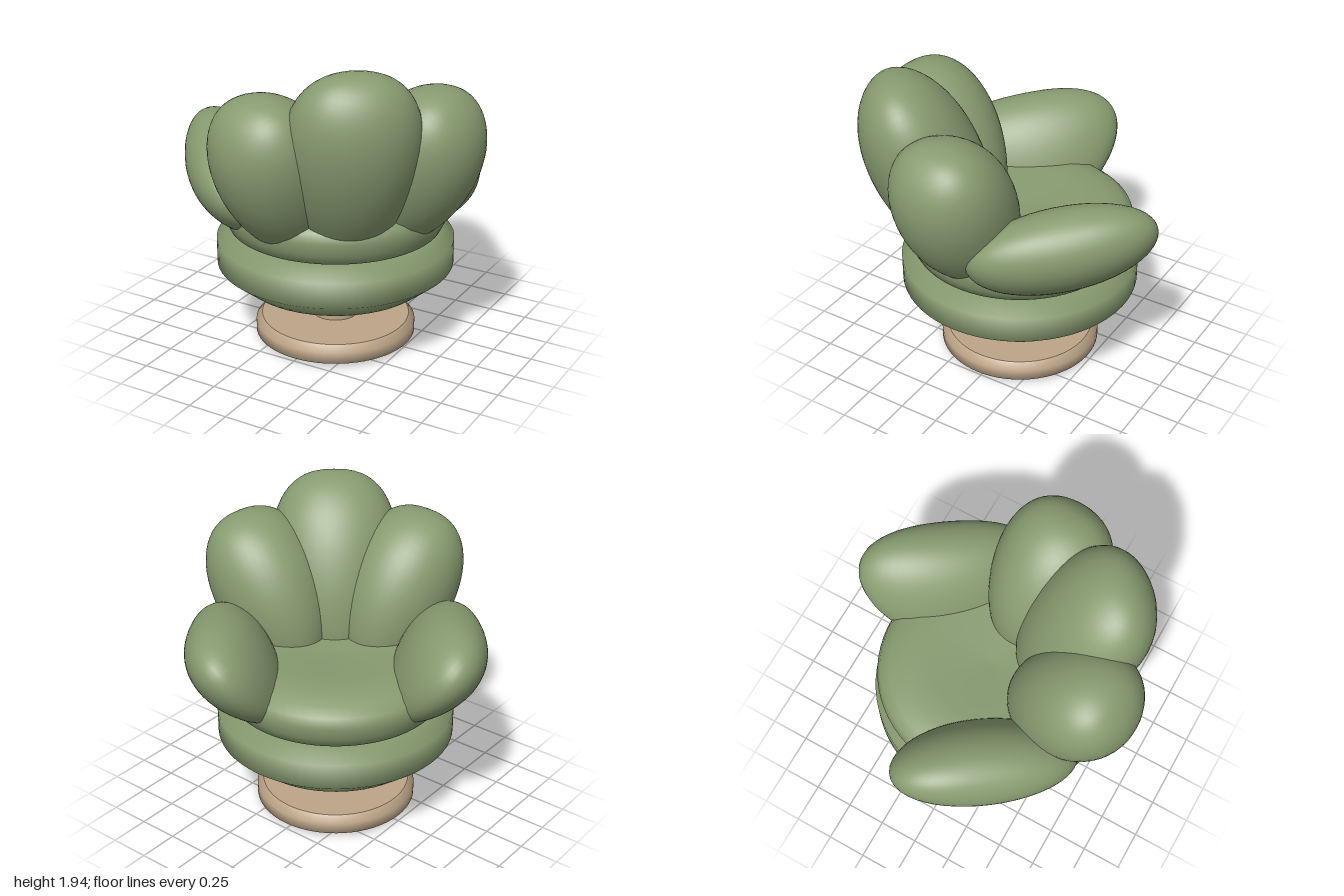
import * as THREE from 'three';
import { mergeVertices } from 'three/addons/utils/BufferGeometryUtils.js';

const fabric = new THREE.MeshStandardMaterial({ color: 0x879b70 });
fabric.name = 'green fabric';
const wood = new THREE.MeshStandardMaterial({ color: 0xbda588 });
wood.name = 'pale wood';

function named(geometry, material, name) {
  const mesh = new THREE.Mesh(geometry, material);
  mesh.name = name;
  return mesh;
}

// Turned part; each pair is radius, height, listed from the bottom up
function turned(points, material, name) {
  const profile = points.map(([r, y]) => new THREE.Vector2(r, y));
  return named(new THREE.LatheGeometry(profile, 64), material, name);
}

// Egg-shaped cushion along y, blunt across its width and narrower at its lower end
function egg([halfWidth, halfLength, halfDepth], taperX, taperZ) {
  let g = new THREE.SphereGeometry(1, 48, 32);
  const p = g.attributes.position;
  for (let i = 0; i < p.count; i++) {
    const y = p.getY(i);
    const blunt = Math.max(1 - y * y, 1e-4) ** -0.1;
    p.setXYZ(i,
      p.getX(i) * halfWidth * blunt * (1 + taperX * y),
      y * halfLength,
      p.getZ(i) * halfDepth * (1 + taperZ * y));
  }
  g.deleteAttribute('uv');
  g.deleteAttribute('normal');
  g = mergeVertices(g, 1e-5);
  g.computeVertexNormals();
  return g;
}

// Back cushion placed around the seat and leaning outwards
function backPetal(name, azimuth, radius, height, lean, size) {
  const pivot = new THREE.Group();
  pivot.name = name;
  pivot.rotation.y = THREE.MathUtils.degToRad(azimuth);
  const mesh = named(egg(size, 0.22, 0.1), fabric, name + 'Cushion');
  mesh.position.set(0, height, radius);
  mesh.rotation.x = THREE.MathUtils.degToRad(lean);
  pivot.add(mesh);
  return pivot;
}

// Wide arm cushion, its long side pitched up towards the front, leaning outwards
function armPetal(name, side) {
  const pitch = THREE.MathUtils.degToRad(9);
  const lean = THREE.MathUtils.degToRad(39);
  const forward = new THREE.Vector3(0, Math.sin(pitch), -Math.cos(pitch));
  const up = new THREE.Vector3(
    side * Math.sin(lean),
    Math.cos(lean) * Math.cos(pitch),
    Math.cos(lean) * Math.sin(pitch));
  const across = new THREE.Vector3().crossVectors(forward, up);
  const mesh = named(egg([0.545, 0.38, 0.23], 0.26, 0.26), fabric, name);
  mesh.quaternion.setFromRotationMatrix(new THREE.Matrix4().makeBasis(forward, up, across));
  mesh.position.set(side * 0.585, 1.03, -0.17);
  return mesh;
}

export function createModel() {
  const chair = new THREE.Group();
  chair.name = 'petalSwivelChair';
  chair.position.set(0.013, 0, 0.013);
  chair.rotation.y = THREE.MathUtils.degToRad(39);

  // Pedestal
  const base = new THREE.Group();
  base.name = 'pedestal';
  const foot = [[0.44, 0], [0.503, 0.03], [0.503, 0.1], [0.465, 0.141]];
  base.add(turned(foot, wood, 'footRim'));
  const footTop = named(new THREE.CircleGeometry(0.465, 64), wood, 'footTop');
  footTop.rotation.x = -Math.PI / 2;
  footTop.position.y = 0.141;
  const footUnderside = named(new THREE.CircleGeometry(0.44, 64), wood, 'footUnderside');
  footUnderside.rotation.x = Math.PI / 2;
  const column = named(new THREE.CylinderGeometry(0.145, 0.145, 0.3, 48), wood, 'column');
  column.position.y = 0.28;
  base.add(footTop, footUnderside, column);

  // Seat: lower ring cushion and the softly dished upper cushion
  chair.add(base,
    turned([[0, 0.385], [0.3, 0.387], [0.59, 0.4], [0.738, 0.52], [0.738, 0.68],
      [0.61, 0.75], [0, 0.76]], fabric, 'lowerCushion'),
    turned([[0, 0.74], [0.6, 0.75], [0.66, 0.768], [0.69, 0.83], [0.71, 0.91], [0.69, 0.97],
      [0.63, 1.02], [0.52, 1.05], [0.38, 1.05], [0.2, 1.035], [0, 1.025]], fabric, 'seatCushion'));

  // Fan of back cushions and the two arms
  chair.add(backPetal('centreBack', 0, 0.54, 1.31, 22, [0.39, 0.66, 0.34]));
  for (const [label, side] of [['left', 1], ['right', -1]]) {
    chair.add(
      backPetal(label + 'Back', side * 45, 0.566, 1.24, 29, [0.34, 0.56, 0.355]),
      armPetal(label + 'Arm', side));
  }

  const model = new THREE.Group();
  model.name = 'chairModel';
  model.add(chair);
  return model;
}
